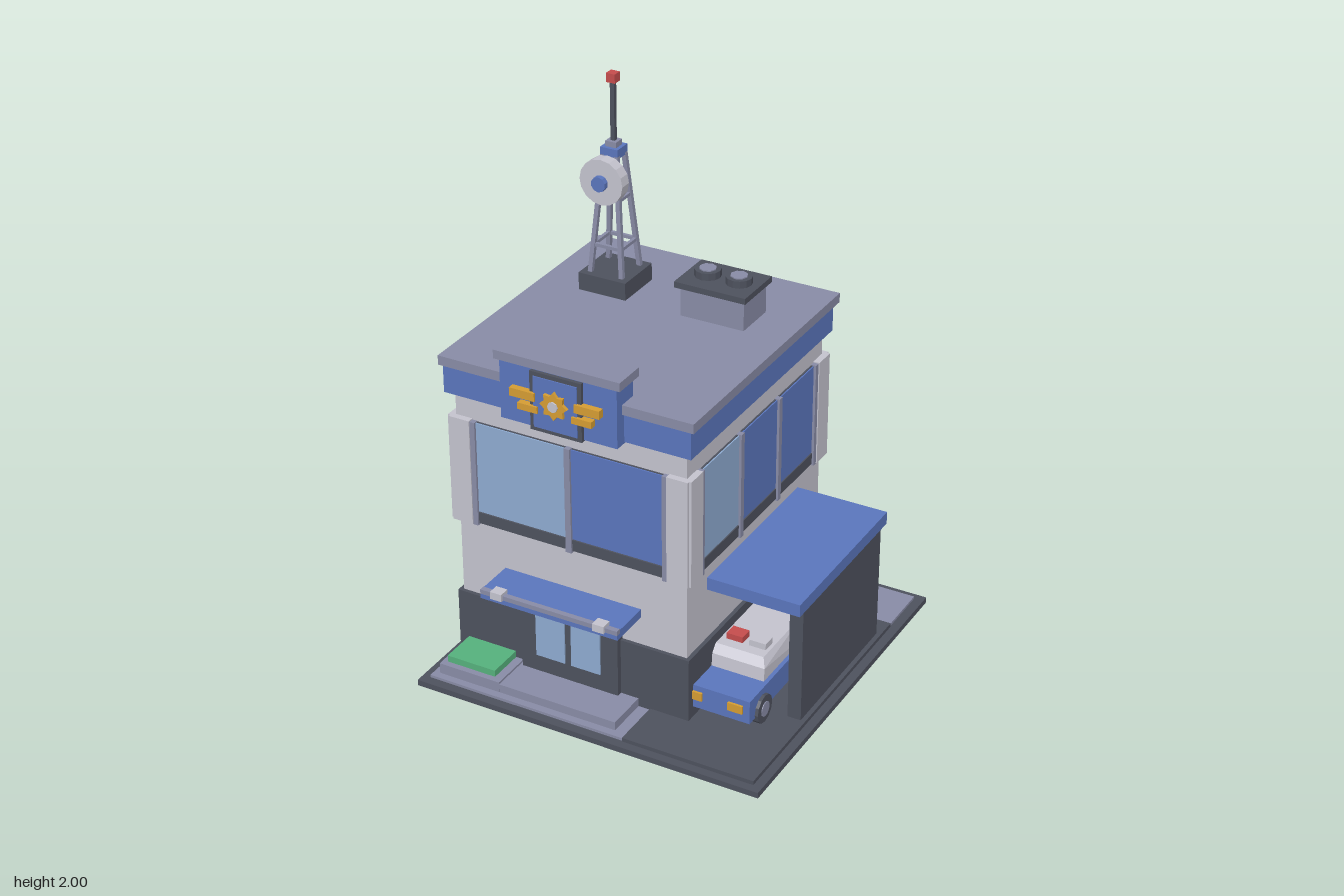
import * as THREE from 'three';

const mat = (name, color) => Object.assign(new THREE.MeshStandardMaterial({ color }), { name });

export function createModel() {
  const root = new THREE.Group();
  root.name = 'station';
  const dark = mat('charcoal', 0x4d515d), grey = mat('slate grey', 0x888ba5), light = mat('pale wall', 0xc3c2cd);
  const blue = mat('blue', 0x5a75bc), glass = mat('pale glass', 0x8daad0), gold = mat('gold', 0xd49c33);
  const green = mat('green', 0x55b07c), red = mat('red', 0xc44c4c);

  const group = (name, parent = root) => {
    const g = new THREE.Group();
    g.name = name;
    parent.add(g);
    return g;
  };
  const add = (name, geo, m, parent = root) => {
    const mesh = new THREE.Mesh(geo, m);
    mesh.name = name;
    parent.add(mesh);
    return mesh;
  };
  // box given by its extents
  const box = (name, m, x0, x1, y0, y1, z0, z1, parent) => {
    const mesh = add(name, new THREE.BoxGeometry(x1 - x0, y1 - y0, z1 - z0), m, parent);
    mesh.position.set((x0 + x1) / 2, (y0 + y1) / 2, (z0 + z1) / 2);
    return mesh;
  };
  const cyl = (name, m, r0, r1, h, n, x, y, z, parent) => {
    const geo = new THREE.CylinderGeometry(r0, r1, h, n).toNonIndexed();
    geo.computeVertexNormals();
    const mesh = add(name, geo, m, parent);
    mesh.position.set(x, y, z);
    return mesh;
  };
  // square bar between two points
  const bar = (name, m, a, b, t, parent) => {
    const d = b.clone().sub(a);
    const mesh = add(name, new THREE.BoxGeometry(t, d.length(), t), m, parent);
    mesh.position.copy(a).add(b).multiplyScalar(0.5);
    mesh.quaternion.setFromUnitVectors(new THREE.Vector3(0, 1, 0), d.normalize());
    return mesh;
  };

  // ground
  box('basePlate', dark, -0.665, 0.665, 0, 0.022, -0.665, 0.665);
  box('pavement', grey, -0.635, 0.63, 0.02, 0.032, -0.635, 0.63);
  box('driveway', dark, 0.135, 0.632, 0.022, 0.037, -0.428, 0.634);

  // main building
  box('lowerWall', dark, -0.63, 0.285, 0.03, 0.28, -0.567, 0.442);
  box('upperWall', light, -0.615, 0.27, 0.28, 1.08, -0.552, 0.428);
  box('roofBand', blue, -0.645, 0.296, 1.065, 1.172, -0.578, 0.45);
  box('roofSlab', grey, -0.655, 0.312, 1.172, 1.207, -0.595, 0.463);

  // window strip, mullions and corner pilasters for one wall (local +z points outward)
  const facade = (name, x, z, rot, half, wallHalf, panes, paleIndex) => {
    const g = group(name);
    g.position.set(x, 0, z);
    g.rotation.y = rot;
    box('windowBacking', dark, -half, half, 0.58, 0.972, -0.02, 0.006, g);
    const step = (2 * half) / panes;
    for (let i = 0; i <= panes; i++) {
      const c = -half + i * step;
      box('mullion', grey, c - 0.011, c + 0.011, 0.573, 0.974, -0.02, 0.02, g);
      if (i < panes) box('windowPane', i === paleIndex ? glass : blue, c + 0.01, c + step - 0.01, 0.625, 0.97, 0.004, 0.011, g);
    }
    box('windowSill', dark, -half, half, 0.58, 0.622, 0, 0.013, g);
    for (const s of [-1, 1]) {
      const a = s * (half + 0.008), b = s * (wallHalf + 0.015);
      box('cornerPilaster', light, Math.min(a, b), Math.max(a, b), 0.575, 0.978, -0.05, 0.024, g);
    }
  };
  const cx = -0.1725, cz = -0.062;
  facade('frontWindows', cx, 0.428, 0, 0.37, 0.4425, 2, 0);
  facade('backWindows', cx, -0.552, Math.PI, 0.37, 0.4425, 2, 1);
  facade('leftWindows', 0.27, cz, Math.PI / 2, 0.416, 0.49, 3, 0);
  facade('rightWindows', -0.615, cz, -Math.PI / 2, 0.416, 0.49, 3, 2);

  // raised parapet with star ornament
  const sign = group('parapet');
  box('parapetBlock', blue, -0.392, 0.05, 1.06, 1.28, 0.39, 0.495, sign);
  box('parapetCap', grey, -0.41, 0.066, 1.278, 1.31, 0.38, 0.503, sign);
  box('ornamentFrame', dark, -0.27, -0.075, 1.055, 1.272, 0.48, 0.508, sign);
  box('ornamentPanel', blue, -0.255, -0.09, 1.07, 1.257, 0.505, 0.512, sign);
  for (const s of [-1, 1]) {
    for (const [a, b, y0, y1] of [[0.075, 0.17, 1.166, 1.196], [0.065, 0.14, 1.124, 1.148]]) {
      const p = cx + s * a, q = cx + s * b;
      box('wingBar', gold, Math.min(p, q), Math.max(p, q), y0, y1, 0.49, 0.519, sign);
    }
  }
  const star = new THREE.Shape();
  for (let i = 0; i < 16; i++) {
    const r = i % 2 ? 0.037 : 0.052, a = (i / 16) * Math.PI * 2;
    star[i ? 'lineTo' : 'moveTo'](r * Math.cos(a), r * Math.sin(a));
  }
  const starGeo = new THREE.ExtrudeGeometry(star, { depth: 0.014, bevelEnabled: false });
  add('star', starGeo, gold, sign).position.set(cx, 1.17, 0.51);
  cyl('starCentre', light, 0.019, 0.019, 0.012, 8, cx, 1.17, 0.524, sign).rotation.x = Math.PI / 2;

  // entrance
  const door = group('entrance');
  box('doorSurround', dark, -0.36, 0.022, 0.03, 0.38, 0.42, 0.463, door);
  for (const x of [-0.3, -0.16]) box('doorGlass', glass, x, x + 0.115, 0.13, 0.335, 0.46, 0.468, door);
  box('awning', blue, -0.44, 0.095, 0.388, 0.42, 0.42, 0.588, door);
  box('awningRail', grey, -0.437, 0.097, 0.41, 0.427, 0.574, 0.594, door);
  for (const x of [-0.37, 0.029]) box('awningLamp', light, x - 0.022, x + 0.022, 0.408, 0.436, 0.562, 0.603, door);
  box('step', grey, -0.37, 0.09, 0.03, 0.064, 0.43, 0.602, door);
  box('planter', grey, -0.612, -0.37, 0.03, 0.072, 0.43, 0.603, door);
  box('hedge', green, -0.593, -0.4, 0.07, 0.097, 0.43, 0.58, door);

  // carport
  const port = group('carport');
  box('carportRoof', blue, 0.26, 0.618, 0.474, 0.521, -0.386, 0.288, port);
  box('carportWall', dark, 0.565, 0.615, 0.03, 0.475, -0.345, 0.255, port);

  // patrol car
  const car = group('car');
  car.position.x = 0.37;
  box('carBody', blue, -0.13, 0.13, 0.078, 0.167, -0.13, 0.41, car);
  const cabShape = new THREE.Shape([[-0.09, 0.165], [0.28, 0.165], [0.275, 0.215], [0.25, 0.243], [-0.06, 0.243], [-0.085, 0.215]]
    .map(p => new THREE.Vector2(...p)));
  const cabGeo = new THREE.ExtrudeGeometry(cabShape, { depth: 0.23, bevelEnabled: false });
  cabGeo.translate(0, 0, -0.115).rotateY(-Math.PI / 2);
  const pos = cabGeo.attributes.position;
  for (let i = 0; i < pos.count; i++) if (pos.getY(i) > 0.23) pos.setX(i, pos.getX(i) * 0.85);
  cabGeo.computeVertexNormals();
  add('cabin', cabGeo, light, car);
  box('redBeacon', red, -0.065, -0.003, 0.24, 0.266, 0.16, 0.21, car);
  box('paleBeacon', light, 0.022, 0.085, 0.24, 0.266, 0.16, 0.21, car);
  for (const s of [-1, 1]) {
    box('headlight', gold, s * 0.077 - 0.028, s * 0.077 + 0.028, 0.114, 0.145, 0.4, 0.419, car);
    for (const z of [0.32, -0.04]) {
      cyl('wheel', dark, 0.053, 0.053, 0.04, 12, s * 0.122, 0.09, z, car).rotation.z = Math.PI / 2;
      cyl('wheelHub', grey, 0.028, 0.028, 0.046, 12, s * 0.122, 0.09, z, car).rotation.z = Math.PI / 2;
    }
  }

  // roof ventilation unit
  const vent = group('ventUnit');
  box('ventBody', grey, -0.09, 0.153, 1.2, 1.32, -0.343, -0.18, vent);
  box('ventCap', dark, -0.107, 0.165, 1.316, 1.338, -0.361, -0.165, vent);
  for (const x of [-0.03, 0.09]) {
    cyl('ventRing', dark, 0.047, 0.047, 0.028, 12, x, 1.35, -0.265, vent);
    cyl('ventHub', grey, 0.031, 0.031, 0.008, 8, x, 1.364, -0.265, vent);
  }

  // lattice tower
  const tower = group('tower');
  tower.position.set(-0.402, 0, -0.277);
  box('towerBase', dark, -0.093, 0.093, 1.2, 1.272, -0.093, 0.093, tower);
  const corner = (i, y) => {
    const h = THREE.MathUtils.mapLinear(y, 1.27, 1.72, 0.062, 0.025);
    return new THREE.Vector3([1, 1, -1, -1][i % 4] * h, y, [1, -1, -1, 1][i % 4] * h);
  };
  for (let i = 0; i < 4; i++) {
    bar('towerLeg', grey, corner(i, 1.265), corner(i, 1.72), 0.016, tower);
    for (const y of [1.375, 1.55]) bar('towerBrace', grey, corner(i, y), corner(i + 1, y), 0.012, tower);
  }
  box('towerHead', blue, -0.034, 0.034, 1.7, 1.735, -0.034, 0.034, tower);
  box('towerCollar', grey, -0.021, 0.021, 1.73, 1.755, -0.021, 0.021, tower);
  box('mast', dark, -0.008, 0.008, 1.75, 1.975, -0.008, 0.008, tower);
  box('beacon', red, -0.017, 0.017, 1.967, 2, -0.017, 0.017, tower);
  cyl('dish', light, 0.084, 0.084, 0.045, 16, 0, 1.63, 0.067, tower).rotation.x = Math.PI / 2;
  cyl('dishFeed', blue, 0.028, 0.028, 0.03, 10, 0, 1.63, 0.094, tower).rotation.x = Math.PI / 2;
  box('dishMount', grey, -0.015, 0.015, 1.615, 1.645, 0, 0.05, tower);

  return root;
}
